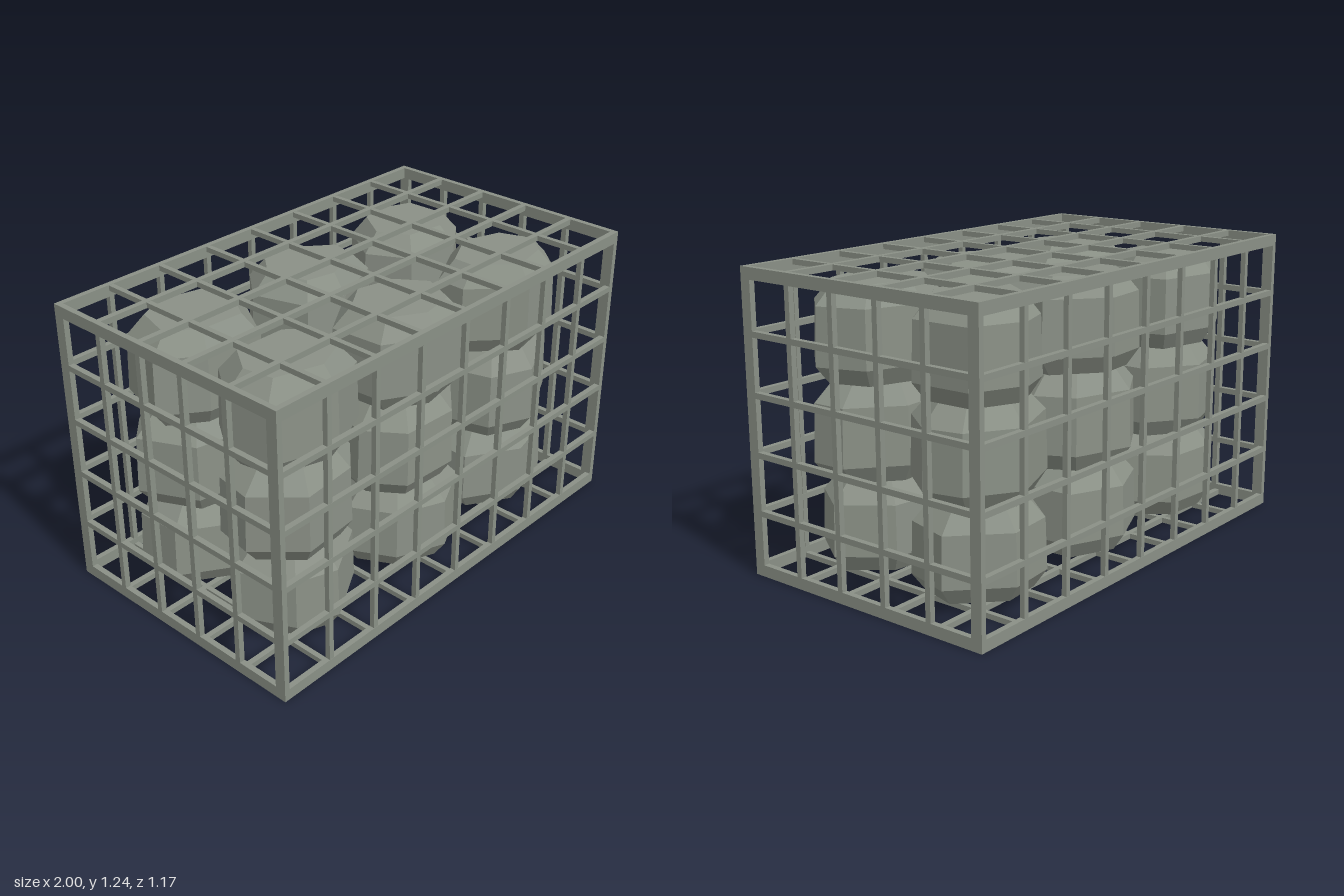
import * as THREE from 'three';

const X = 1, Z = 0.585, H = 1.236;   // cage half width, half depth, height
const T = 0.024, E = 0.048;          // bar thickness, edge rail height

export function createModel() {
  const model = new THREE.Group();
  const stoneGrey = new THREE.MeshStandardMaterial({ color: 0x8a9086, flatShading: true });
  stoneGrey.name = 'stoneGrey';

  let seed = 11;
  const rand = () => (seed = (seed * 16807) % 2147483647) / 2147483647;
  for (let i = 0; i < 5; i++) rand();

  const cage = new THREE.Group();
  cage.name = 'cage';
  model.add(cage);
  const bar = (name, w, h, d, x, y, z) => {
    const m = new THREE.Mesh(new THREE.BoxGeometry(w, h, d), stoneGrey);
    m.name = name;
    m.position.set(x, y, z);
    cage.add(m);
  };

  // Heavy edges: corner posts, long rails and end rails
  for (const sx of [-1, 1]) {
    for (const sz of [-1, 1])
      bar('cornerPost', T, H, E, sx * (X - T / 2), H / 2, sz * (Z - E / 2));
    for (const y of [E / 2, H - E / 2])
      bar('endRail', T, E, 2 * (Z - E), sx * (X - T / 2), y, 0);
  }
  for (const sz of [-1, 1])
    for (const y of [E / 2, H - E / 2])
      bar('longRail', 2 * (X - T), E, T, 0, y, sz * (Z - T / 2));

  // Thin grid bars on all six sides
  const yBars = [-1.5, -0.5, 0.5, 1.5].map(k => H / 2 + 0.003 + k * 0.239);
  const xBars = [-3, -2, -1, 0, 1, 2, 3].map(k => k * 0.25);
  const innerH = H - 2 * E;
  for (const s of [-1, 1]) {
    const z = s * (Z - T / 2), x = s * (X - T / 2), yFlat = s < 0 ? T / 2 : H - T / 2;
    for (const y of yBars) {
      bar('wallBar', 2 * (X - T), T, T, 0, y, z);
      bar('endBar', T, T, 2 * (Z - E), x, y, 0);
    }
    for (const bx of xBars) {
      bar('wallUpright', 0.022, innerH, 0.022, bx, H / 2, z);
      bar('lidCrossBar', 0.022, 0.022, 2 * (Z - T), bx, yFlat, 0);
    }
    for (const k of [-1.5, -0.5, 0.5, 1.5]) {
      bar('endUpright', T, innerH, T, x, H / 2, k * 0.223);
      bar('lidLongBar', 2 * (X - T), T, T, 0, yFlat, k * 0.234);
    }
  }

  // Irregular seven-sided boulder with bevelled top and bottom
  const SIDES = 7;
  const boulder = (radiusX, radiusZ, low, high) => {
    const rings = [[0, low], [0.8, low], [1, low + 0.072], [0.97, high - 0.08], [0.7, high], [0, high]]
      .map(p => new THREE.Vector2(...p));
    const geo = new THREE.LatheGeometry(rings, SIDES);
    const turn = rand() * 6.28;
    const corners = Array.from({ length: SIDES }, (_, i) => {
      const a = turn + (i + (rand() - 0.5) * 0.4) / SIDES * Math.PI * 2;
      const r = 0.94 + rand() * 0.12;
      return [Math.sin(a) * r * radiusX, Math.cos(a) * r * radiusZ];
    });
    const pos = geo.attributes.position;
    for (let i = 0; i < pos.count; i++) {
      const ring = rings[i % rings.length];
      const c = corners[Math.floor(i / rings.length) % SIDES];
      pos.setXYZ(i, c[0] * ring.x, ring.y, c[1] * ring.x);
    }
    geo.computeVertexNormals();
    return geo;
  };

  // Three layers of three by two boulders
  const boulders = new THREE.Group();
  boulders.name = 'boulders';
  model.add(boulders);
  for (const [low, high] of [[0.05, 0.41], [0.41, 0.797], [0.797, 1.18]])
    for (const x of [-0.61, 0, 0.61])
      for (const z of [-0.25, 0.25]) {
        const m = new THREE.Mesh(boulder(0.285, 0.237, low, high), stoneGrey);
        m.name = 'boulder';
        m.position.set(x, 0, z);
        boulders.add(m);
      }
  return model;
}
